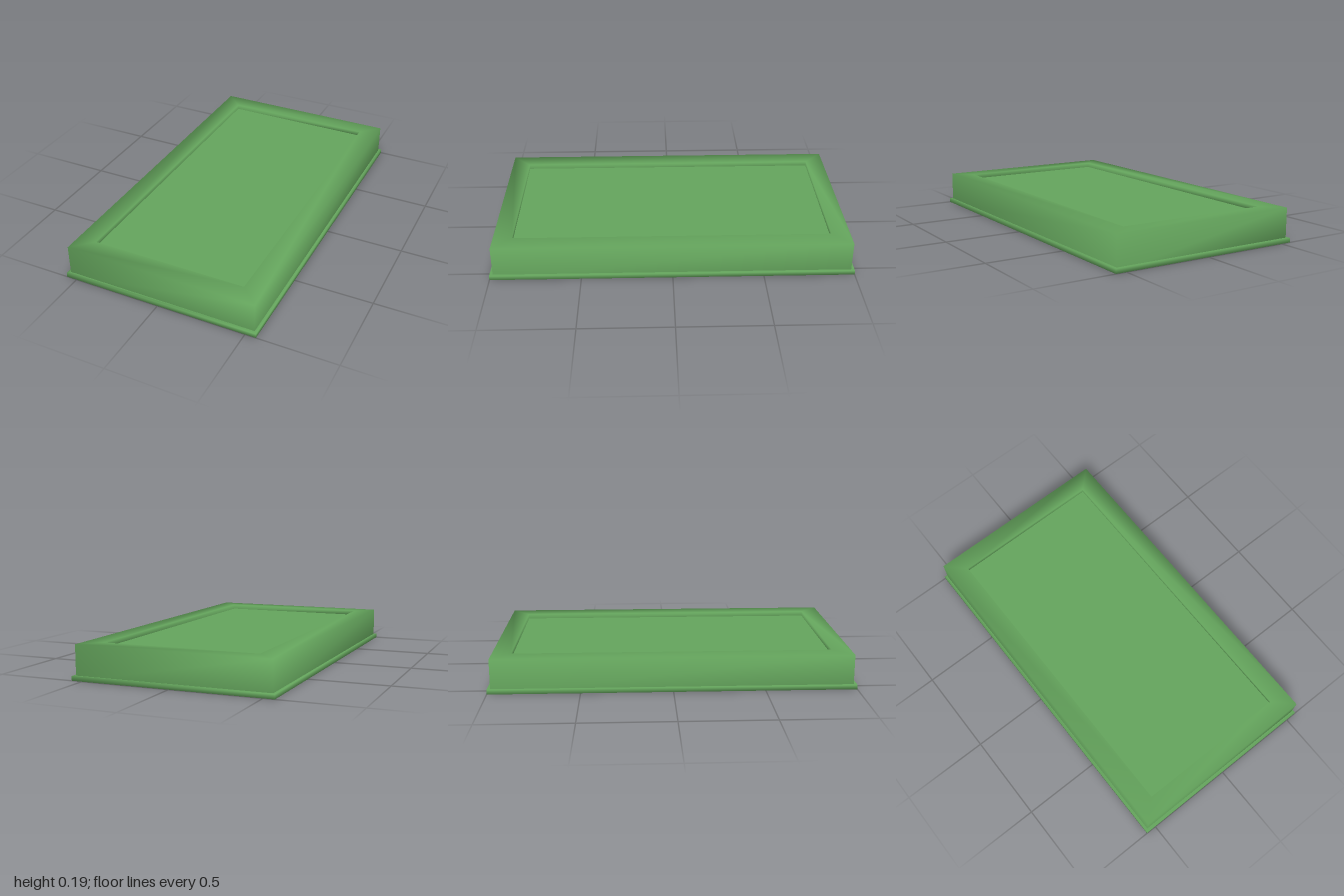
import * as THREE from 'three';

const green = new THREE.MeshStandardMaterial({ color: 0x64a45c, side: THREE.DoubleSide });

// Skin over a stack of rectangular rings, each [halfX, y, halfZ], with shared smooth normals
function rectLoft(name, rings) {
  const pos = [], idx = [];
  for (const [hx, y, hz] of rings) {
    pos.push(-hx, y, hz, hx, y, hz, hx, y, -hz, -hx, y, -hz);
  }
  for (let r = 0; r < rings.length - 1; r++) {
    for (let i = 0; i < 4; i++) {
      const a = r * 4 + i, b = r * 4 + (i + 1) % 4;
      idx.push(a, b, b + 4, a, b + 4, a + 4);
    }
  }
  const geo = new THREE.BufferGeometry();
  geo.setAttribute('position', new THREE.Float32BufferAttribute(pos, 3));
  geo.setIndex(idx);
  geo.computeVertexNormals();
  const mesh = new THREE.Mesh(geo, green);
  mesh.name = name;
  return mesh;
}

export function createModel() {
  const group = new THREE.Group();
  group.name = 'tray';

  // Low flange around the foot, open in the middle
  group.add(rectLoft('baseFlange', [
    [0.545, 0, 0.982],
    [0.56, 0, 1],
    [0.56, 0.025, 1],
    [0.545, 0.025, 0.982],
  ]));

  // Hollow shell: outer wall, flat rim, short step down to the panel
  group.add(rectLoft('rimShell', [
    [0.545, 0, 0.982],
    [0.545, 0.19, 0.982],
    [0.437, 0.19, 0.877],
    [0.437, 0.163, 0.877],
  ]));

  // Recessed flat panel
  const panel = new THREE.Mesh(new THREE.PlaneGeometry(0.874, 1.754), green);
  panel.name = 'recessedPanel';
  panel.rotation.x = -Math.PI / 2;
  panel.position.y = 0.163;
  group.add(panel);

  return group;
}
